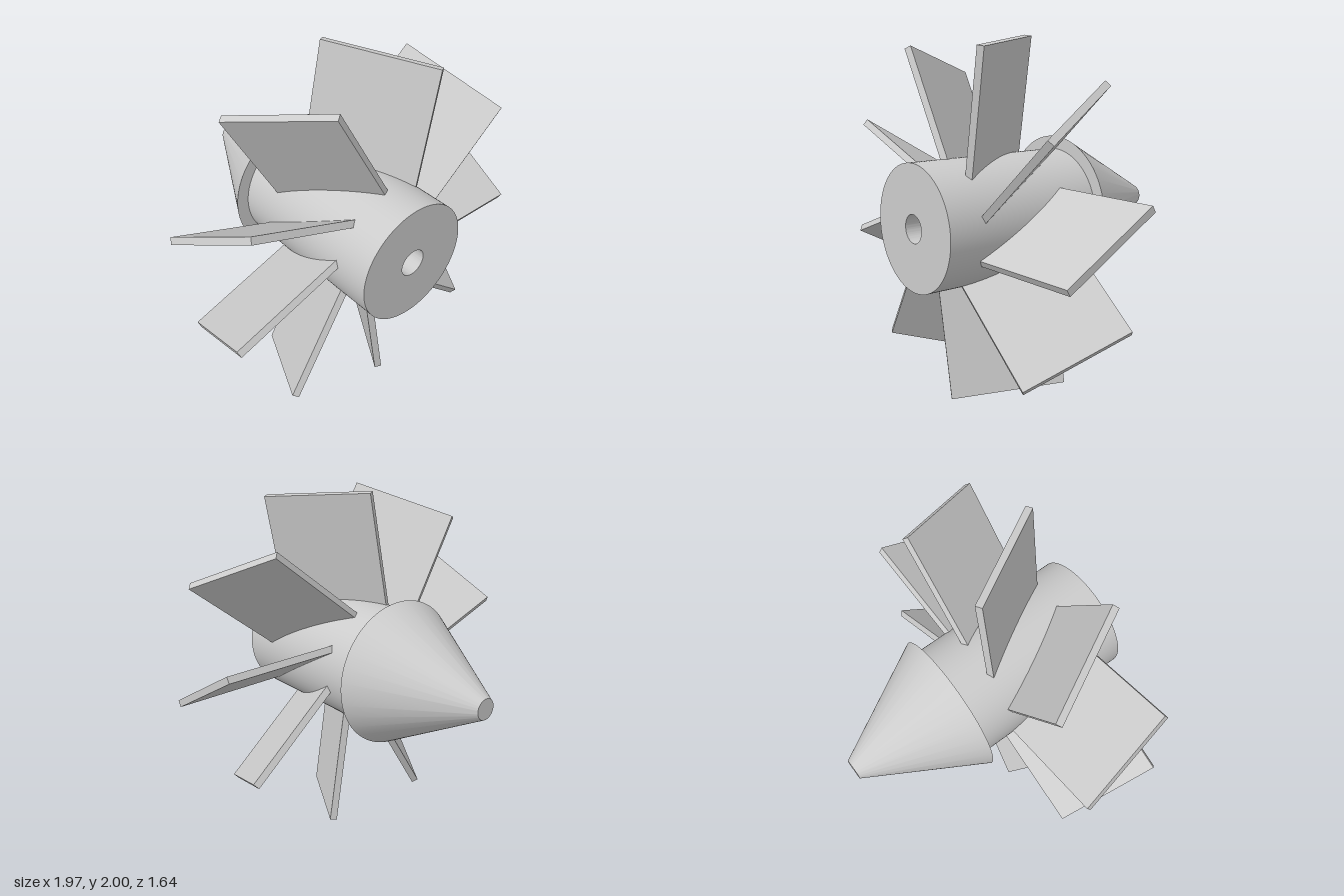
import * as THREE from 'three';
import { toCreasedNormals } from 'three/addons/utils/BufferGeometryUtils.js';

const material = new THREE.MeshStandardMaterial({ color: 0xcccccc });

// Turned part about the z axis; profile points are [radius, z]
function turned(name, profile) {
  const points = profile.map(([r, z]) => new THREE.Vector2(r, z));
  const geometry = toCreasedNormals(new THREE.LatheGeometry(points, 96), 0.5);
  geometry.rotateX(Math.PI / 2);
  const mesh = new THREE.Mesh(geometry, material);
  mesh.name = name;
  return mesh;
}

export function createModel() {
  const model = new THREE.Group();
  model.name = 'bladedRotor';

  // Everything is arranged around a horizontal axis at y = 1
  const rotor = new THREE.Group();
  rotor.name = 'rotor';
  rotor.position.y = 1;
  model.add(rotor);

  const shoulderZ = -0.155;
  const hubRadius = 0.348;
  const boreRadius = 0.078;

  // Hub drum, bored from the front
  rotor.add(turned('hub', [
    [hubRadius, shoulderZ], [hubRadius, 0.82], [boreRadius, 0.82], [boreRadius, shoulderZ],
  ]));

  // Blunt rear cone, overhanging the hub
  rotor.add(turned('tailCone', [
    [0, -0.82], [0.06, -0.82], [0.422, shoulderZ], [0, shoulderZ],
  ]));

  // Nine flat blades pitched 30 degrees, rooted inside the hub
  const bladeCount = 9;
  const rootX = 0.2;
  const tipX = 0.984;
  const bladeGeometry = new THREE.BoxGeometry(tipX - rootX, 0.04, 0.641);
  bladeGeometry.rotateX(Math.PI / 6);
  bladeGeometry.translate((rootX + tipX) / 2, 0, 0.334);
  for (let i = 0; i < bladeCount; i++) {
    const blade = new THREE.Mesh(bladeGeometry, material);
    blade.name = `blade${i + 1}`;
    blade.rotation.z = (i / bladeCount) * Math.PI * 2;
    rotor.add(blade);
  }

  return model;
}
